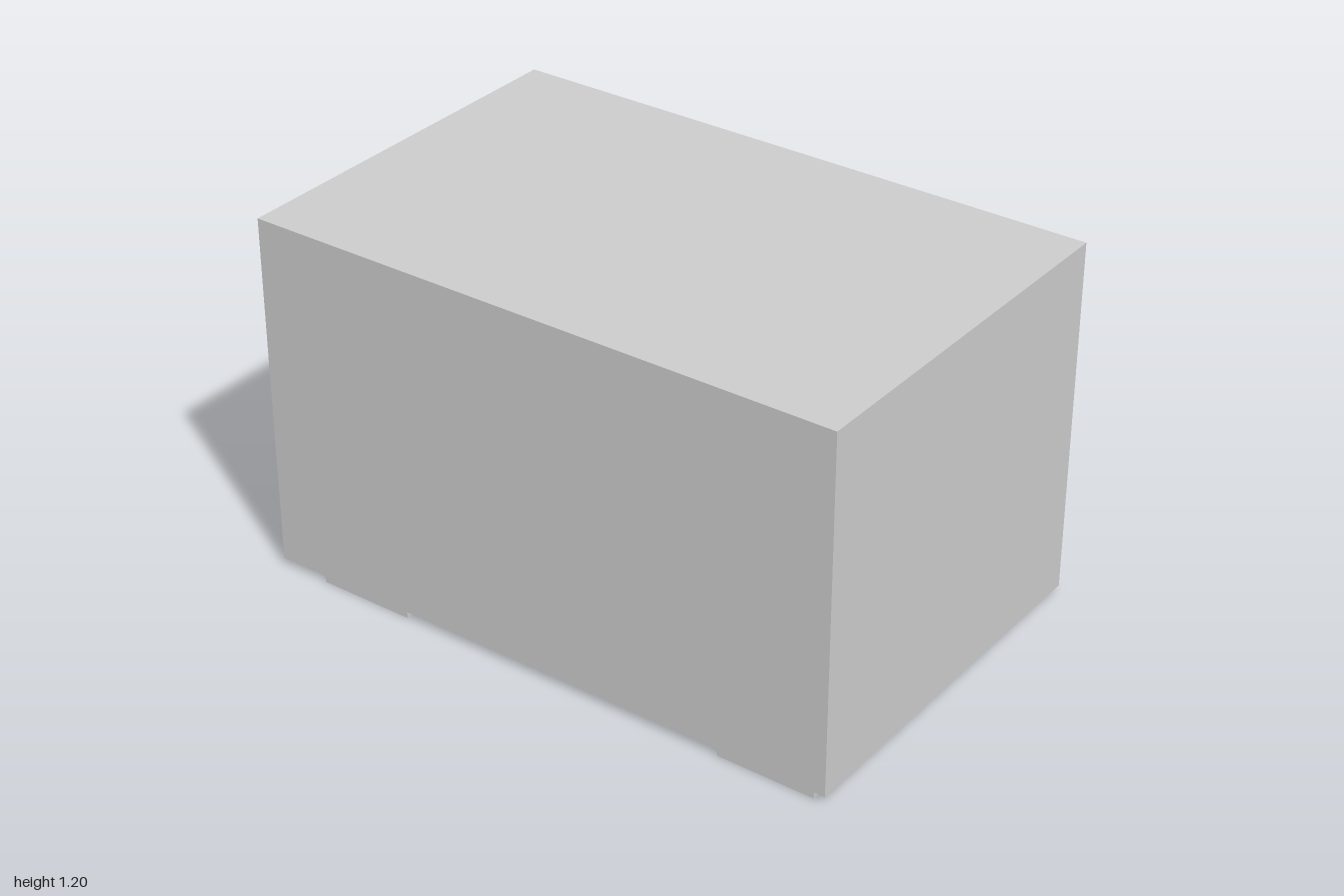
import * as THREE from 'three';

const material = new THREE.MeshStandardMaterial({ color: 0xcccccc, flatShading: true });

// Box whose base centre sits at (x, y, z)
function block(name, w, h, d, x, y, z) {
  const mesh = new THREE.Mesh(new THREE.BoxGeometry(w, h, d), material);
  mesh.name = name;
  mesh.position.set(x, y + h / 2, z);
  return mesh;
}

export function createModel() {
  const group = new THREE.Group();
  group.name = 'crate';

  const width = 1.28, length = 2, top = 1.195;
  const footHeight = 0.021, footSize = 0.327;

  // Main body, raised on its feet
  group.add(block('body', width, top - footHeight, length, 0, footHeight, 0));

  // Four thin square feet, flush with the sides; the rear pair sits further in
  for (const [end, z] of [['front', 0.8], ['back', -0.667]]) {
    for (const [side, sign] of [['Left', 1], ['Right', -1]]) {
      const x = sign * (width - footSize) / 2;
      group.add(block(end + side + 'Foot', footSize, footHeight, footSize, x, 0, z));
    }
  }
  return group;
}
